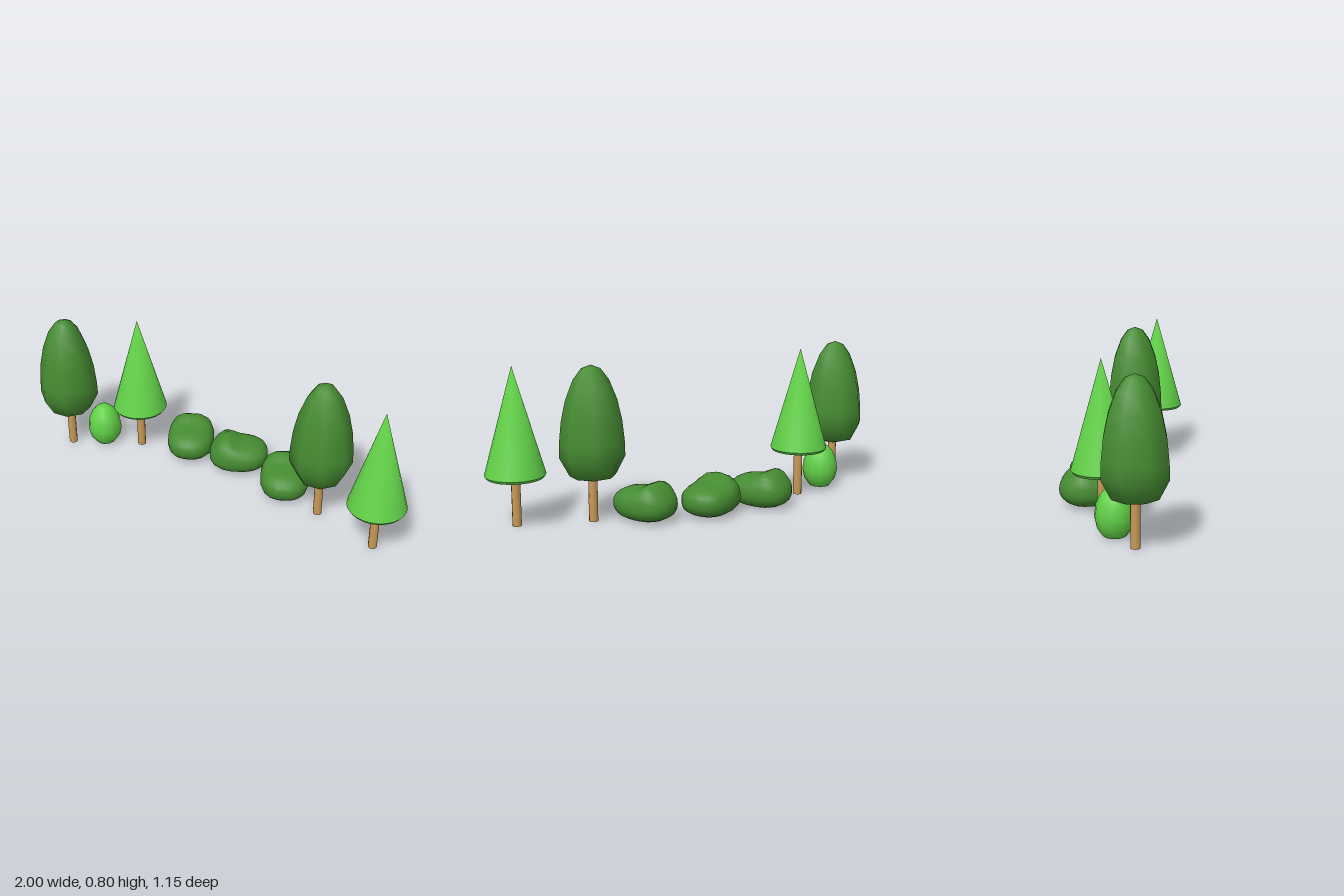
import * as THREE from 'three';
import { mergeVertices } from 'three/addons/utils/BufferGeometryUtils.js';

const paint = (name, color) => {
  const m = new THREE.MeshStandardMaterial({ color });
  m.name = name;
  return m;
};

// Weld the seam and poles so the shading is smooth all round
function weld(geometry) {
  geometry.deleteAttribute('normal');
  geometry.deleteAttribute('uv');
  const g = mergeVertices(geometry, 1e-4);
  g.computeVertexNormals();
  return g;
}

const lathe = (points, sides) =>
  weld(new THREE.LatheGeometry(points.map(([r, y]) => new THREE.Vector2(r, y)), sides));

// Long rounded bush: high lump towards -z, low lump towards +z
function bushGeometry() {
  const g = new THREE.SphereGeometry(1, 20, 14);
  const pos = g.attributes.position;
  const p = 2.5;
  const v = new THREE.Vector3();
  for (let i = 0; i < pos.count; i++) {
    v.fromBufferAttribute(pos, i);
    const s = (Math.abs(v.x) ** p + Math.abs(v.y) ** p + Math.abs(v.z) ** p) ** (-1 / p);
    v.multiplyScalar(s).multiply(new THREE.Vector3(0.131, 0.083, 0.163));
    if (v.y > 0) v.y *= 1 + 0.53 * Math.exp(-(((v.z + 0.08) / 0.06) ** 2));
    pos.setXYZ(i, v.x, v.y + 0.083, v.z);
  }
  return weld(g);
}

export function createModel() {
  const darkGreen = paint('dark green leaves', 0x468c32);
  const lightGreen = paint('light green leaves', 0x62d148);
  const wood = paint('trunk wood', 0xc99a57);

  const model = new THREE.Group();
  model.name = 'treeRow';

  const add = (parent, name, geometry, material) => {
    const mesh = new THREE.Mesh(geometry, material);
    mesh.name = name;
    parent.add(mesh);
    return mesh;
  };
  const place = (name, x, z, turn = 0) => {
    const group = new THREE.Group();
    group.name = name;
    group.position.set(x, 0, z);
    group.rotation.y = turn;
    model.add(group);
    return group;
  };

  const trunk = new THREE.CylinderGeometry(0.023, 0.023, 0.26, 10).translate(0, 0.13, 0);

  // Round trees: eight-sided egg-shaped crowns
  const crown = lathe([
    [0, 0.204], [0.114, 0.236], [0.163, 0.33], [0.161, 0.405], [0.15, 0.51],
    [0.127, 0.615], [0.088, 0.715], [0.047, 0.77], [0, 0.788],
  ], 8);
  for (const [x, z] of [[-0.837, -0.415], [0.575, 0.168]]) {
    const tree = place('roundTree', x, z);
    add(tree, 'trunk', trunk, wood);
    add(tree, 'crown', crown, darkGreen);
  }

  // Cone trees: cone, bevelled rim and flat underside
  const cone = lathe([[0.15, 0.262], [0, 0.795]], 24);
  const rim = lathe([[0.14, 0.248], [0.15, 0.262]], 24);
  const underside = new THREE.CircleGeometry(0.14, 24).rotateX(Math.PI / 2).translate(0, 0.248, 0);
  for (const [x, z] of [[-0.435, -0.42], [0.85, 0.425]]) {
    const tree = place('coneTree', x, z);
    add(tree, 'trunk', trunk, wood);
    add(tree, 'cone', cone, lightGreen);
    add(tree, 'coneRim', rim, lightGreen);
    add(tree, 'coneUnderside', underside, lightGreen);
  }

  // Small egg-shaped shrub
  const shrub = lathe([
    [0, 0], [0.055, 0.004], [0.085, 0.045], [0.096, 0.095], [0.089, 0.15],
    [0.068, 0.2], [0.038, 0.23], [0, 0.24],
  ], 12);
  add(place('shrub', -0.65, -0.44), 'shrubLeaves', shrub, lightGreen);

  // Curved row of low bushes, the middle one turned sideways
  const bush = bushGeometry();
  for (const [x, z, turn] of [[-0.142, -0.367, 0], [0.137, -0.241, Math.PI / 2], [0.397, -0.021, 0]]) {
    add(place('bush', x, z, turn), 'bushLeaves', bush, darkGreen);
  }

  return model;
}
